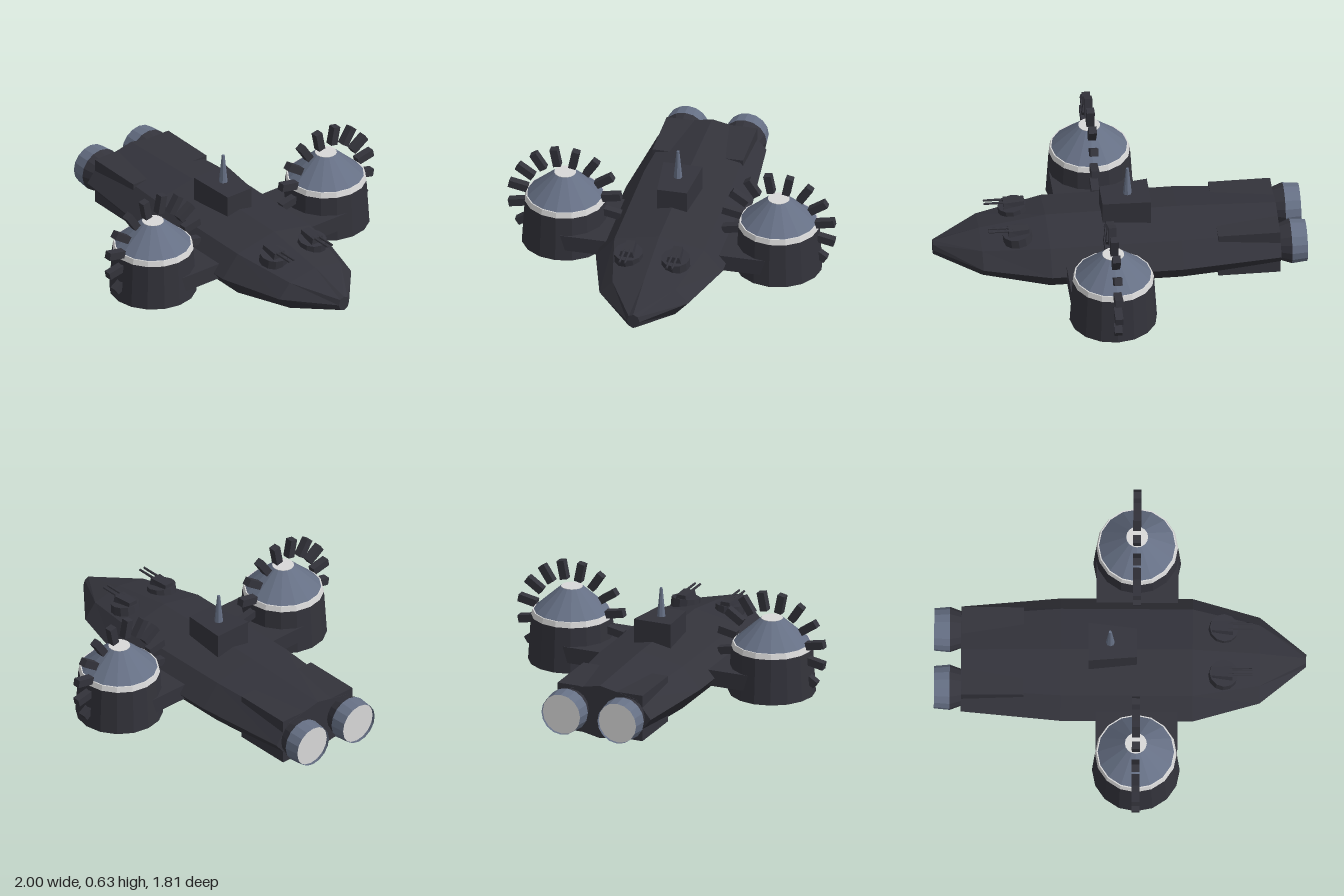
import * as THREE from 'three';

const mat = (name, color, side = THREE.FrontSide) =>
  new THREE.MeshStandardMaterial({ name, color, side, flatShading: true });

// Skin over rings of [y, z] points placed along x, closed at both ends
function loft(rings) {
  const pos = [], idx = [], n = rings[0].pts.length, last = (rings.length - 1) * n;
  rings.forEach(r => r.pts.forEach(([y, z]) => pos.push(r.x, y, z)));
  for (let i = 0; i < rings.length - 1; i++) {
    for (let j = 0; j < n; j++) {
      const a = i * n + j, b = i * n + (j + 1) % n;
      idx.push(a, b, b + n, a, b + n, a + n);
    }
  }
  for (let k = 1; k < n - 1; k++) {
    idx.push(0, k + 1, k, last, last + k, last + k + 1);
  }
  const g = new THREE.BufferGeometry();
  g.setAttribute('position', new THREE.Float32BufferAttribute(pos, 3));
  g.setIndex(idx);
  const flat = g.toNonIndexed();
  flat.computeVertexNormals();
  return flat;
}

export function createModel() {
  const root = new THREE.Group();
  root.name = 'submarine';
  const dark = mat('dark hull', 0x33333b);
  const steel = mat('blue steel', 0x667085, THREE.DoubleSide);
  const light = mat('light grey', 0xd8d8d8);

  function add(parent, name, geo, material, x = 0, y = 0, z = 0) {
    const m = new THREE.Mesh(geo, material);
    m.name = name;
    m.position.set(x, y, z);
    parent.add(m);
    return m;
  }
  const box = (x, y, z) => new THREE.BoxGeometry(x, y, z);
  const cyl = (top, bottom, h, sides = 16, open = false) =>
    new THREE.CylinderGeometry(top, bottom, h, sides, 1, open);

  // Eight-sided hull: x, half width, half height, centre height
  const octagon = ([x, w, h, cy]) => ({
    x,
    pts: Array.from({ length: 8 }, (_, i) => {
      const a = i * Math.PI / 4;
      return [cy + h * Math.cos(a), w * Math.sin(a)];
    }),
  });
  add(root, 'hull', loft([
    [-0.855, 0.3, 0.15, 0.177],
    [-0.32, 0.35, 0.17, 0.175],
    [0.39, 0.35, 0.17, 0.175],
    [0.75, 0.245, 0.11, 0.177],
    [1, 0.035, 0.042, 0.18],
  ].map(octagon)), dark);

  // Engine block whose corners break through the hull
  add(root, 'engineBlock', box(0.335, 0.26, 0.5), dark, -0.685, 0.177, 0);

  // Tapered conning tower and periscope
  const trapezoid = (x, top, w) => ({ x, pts: [[top, -w], [top, w], [0.3, w], [0.3, -w]] });
  add(root, 'conningTower', loft([trapezoid(-0.17, 0.46, 0.108), trapezoid(0.09, 0.447, 0.082)]), dark);
  add(root, 'periscope', cyl(0.008, 0.024, 0.165, 8), steel, -0.053, 0.534, 0);

  for (const [side, s] of [['left', 1], ['right', -1]]) {
    // Rear thruster
    const thruster = new THREE.Group();
    thruster.name = side + 'Thruster';
    thruster.position.set(-0.855, 0.185, s * 0.165);
    thruster.rotation.z = Math.PI / 2;
    root.add(thruster);
    add(thruster, 'thrusterCollar', cyl(0.122, 0.1, 0.06), dark, 0, 0.03, 0);
    add(thruster, 'nozzle', cyl(0.114, 0.122, 0.085, 16, true), steel, 0, 0.1025, 0);
    add(thruster, 'nozzleGlow', cyl(0.114, 0.114, 0.006), light, 0, 0.125, 0);

    // Arm to the side pod
    add(root, side + 'Arm', box(0.44, 0.09, 0.32), dark, 0.09, 0.175, s * 0.43);

    // Side pod with a conical roof
    const pod = new THREE.Group();
    pod.name = side + 'Pod';
    pod.position.set(0.088, 0, s * 0.59);
    root.add(pod);
    add(pod, 'podDrum', cyl(0.22, 0.236, 0.255), dark, 0, 0.1975, 0);
    add(pod, 'podBand', cyl(0.212, 0.22, 0.03), light, 0, 0.34, 0);
    add(pod, 'podRoof', cyl(0.06, 0.207, 0.133), steel, 0, 0.42, 0);
    add(pod, 'podCap', cyl(0.059, 0.059, 0.006), light, 0, 0.486, 0);

    // Upright paddle wheel of radial blocks
    const wheel = new THREE.Group();
    wheel.name = side + 'PaddleWheel';
    wheel.position.y = 0.318;
    pod.add(wheel);
    for (let i = 0; i < 16; i++) {
      const a = (i + 0.5) * Math.PI / 8;
      const r = 0.262;
      const p = add(wheel, 'paddle', box(0.043, 0.105, 0.042), dark, 0, r * Math.cos(a), r * Math.sin(a));
      p.rotation.x = a;
    }

    // Twin-gun turret on the foredeck
    const turret = new THREE.Group();
    turret.name = side + 'Turret';
    turret.position.set(0.555, 0.31, s * 0.13);
    root.add(turret);
    add(turret, 'turretBase', cyl(0.078, 0.08, 0.05, 12), dark).rotation.z = -0.14;
    add(turret, 'turretHouse', loft([
      { x: -0.062, pts: [[0.056, -0.025], [0.056, 0.025], [0, 0.035], [0, -0.035]] },
      { x: 0.05, pts: [[0.052, -0.032], [0.052, 0.032], [0, 0.045], [0, -0.045]] },
    ]), dark);
    for (const dz of [-0.015, 0.015]) {
      add(turret, 'gunBarrel', cyl(0.006, 0.007, 0.13, 8), dark, 0.092, 0.047, dz).rotation.z = -Math.PI / 2;
    }
  }
  return root;
}
